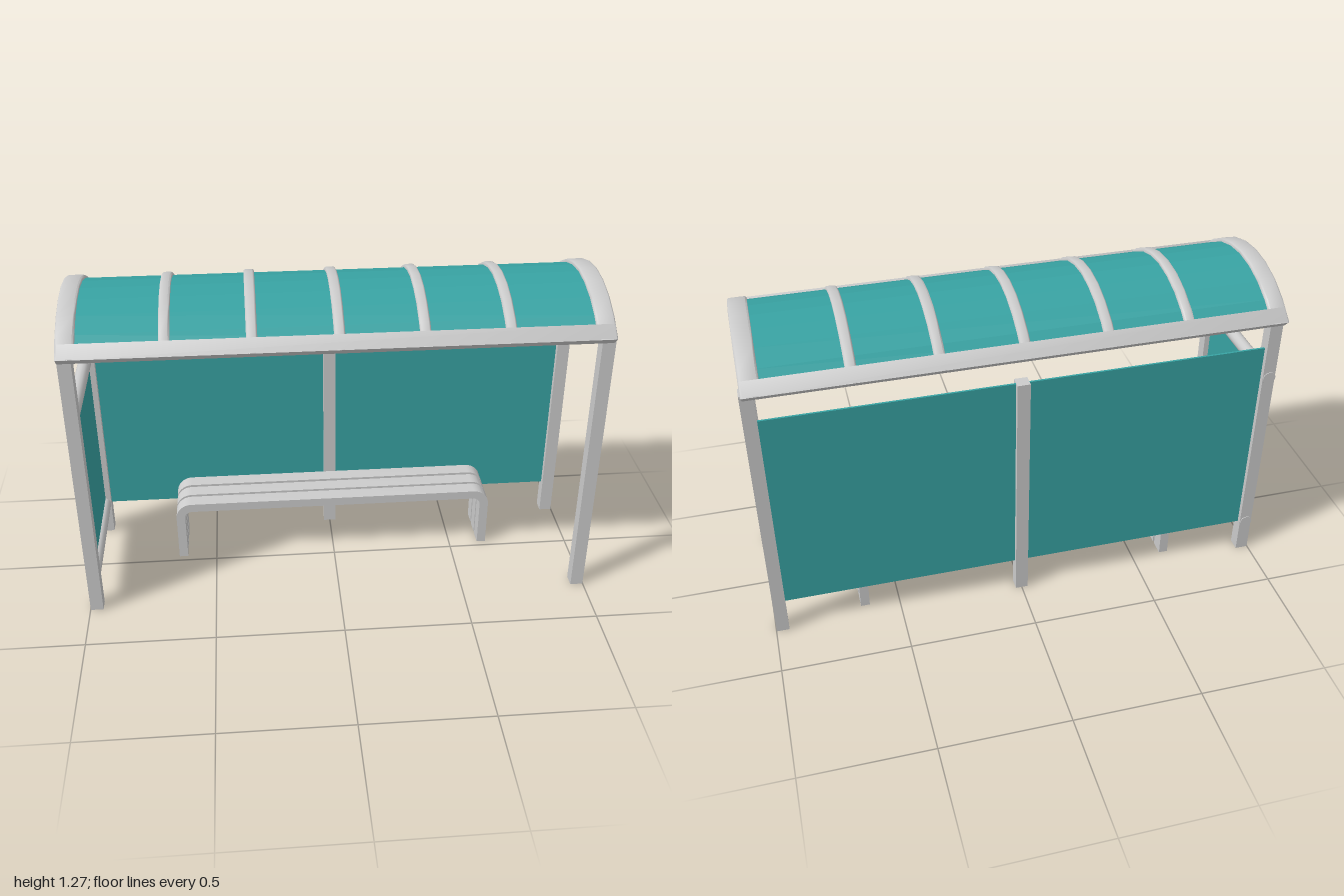
import * as THREE from 'three';
import { toCreasedNormals } from 'three/addons/utils/BufferGeometryUtils.js';

const grey = new THREE.MeshStandardMaterial({ color: 0xcccccc });
const teal = new THREE.MeshStandardMaterial({ color: 0x38a3a3, side: THREE.DoubleSide });

// Roof arc, described in the z/y plane
const ARC_Y = 0.803, ARC_R = 0.454, ARC_HALF = 0.782, RAIL_START = 0.649;

export function createModel() {
  const model = new THREE.Group();

  function add(parent, name, geometry, material, x = 0, y = 0, z = 0) {
    const mesh = new THREE.Mesh(geometry, material);
    mesh.name = name;
    mesh.position.set(x, y, z);
    parent.add(mesh);
    return mesh;
  }
  function group(name) {
    const g = new THREE.Group();
    g.name = name;
    model.add(g);
    return g;
  }
  const box = (w, h, d) => new THREE.BoxGeometry(w, h, d);

  // Curved bar: a slice of the roof arc from angle a0 to a1, spanning x0 to x1
  function arcBar(parent, name, x0, x1, a0, a1, segments) {
    const b = 0.007, half = 0.0175 - b, inset = b / ARC_R;
    const points = [];
    for (const [r, from, to] of [
      [ARC_R + half, a0 + inset, a1 - inset],
      [ARC_R - half, a1 - inset, a0 + inset],
    ]) {
      for (let i = 0; i <= segments; i++) {
        const a = from + (to - from) * i / segments;
        points.push(new THREE.Vector2(Math.sin(a) * r, ARC_Y + Math.cos(a) * r));
      }
    }
    const geometry = new THREE.ExtrudeGeometry(new THREE.Shape(points), {
      depth: x1 - x0 - 2 * b, bevelEnabled: true,
      bevelSize: b, bevelThickness: b, bevelSegments: 2,
    });
    geometry.rotateY(-Math.PI / 2);   // shape x -> +z, depth -> -x
    geometry.translate(x1 - b, 0, 0);
    add(parent, name, toCreasedNormals(geometry, 0.85), grey);
  }

  // Corner posts and the shorter centre back post
  const posts = group('posts');
  for (const sx of [-1, 1]) {
    add(posts, 'frontPost', box(0.05, 1.12, 0.05), grey, sx * 0.974, 0.56, 0.27);
    add(posts, 'backPost', box(0.05, 1.12, 0.05), grey, sx * 0.974, 0.56, -0.265);
  }
  add(posts, 'centrePost', box(0.05, 1, 0.05), grey, 0, 0.5, -0.265);

  // Back wall: two panes
  const back = group('backWall');
  for (const sx of [-1, 1]) {
    add(back, 'backPane', box(0.925, 0.86, 0.008), teal, sx * 0.487, 0.567, -0.267);
  }

  // Side wall at the model's right end, held by two round rails
  const side = group('sideWall');
  add(side, 'sidePane', box(0.008, 0.69, 0.49), teal, -0.975, 0.508, 0.002);
  for (const y of [0.145, 0.87]) {
    const rail = add(side, 'sideRail', new THREE.CylinderGeometry(0.0255, 0.0255, 0.552, 14),
      grey, -0.975, y, -0.017);
    rail.rotation.x = Math.PI / 2;
  }

  // Vaulted roof: curved sheet, ribs, eaves rails and end ties
  const roof = group('roof');
  const SEG = 8, R = ARC_R + 0.005;
  const sheet = new THREE.CylinderGeometry(
    R, R, 1.93, SEG, 1, true, -ARC_HALF + 0.04, 2 * (ARC_HALF - 0.04)).toNonIndexed();
  sheet.computeVertexNormals();
  sheet.rotateX(-Math.PI / 2);        // arc now opens downwards, axis along z
  sheet.rotateY(Math.PI / 2);         // axis along x
  add(roof, 'roofSheet', sheet, teal, -0.003, ARC_Y, 0);

  arcBar(roof, 'endRib', -1, -0.932, -ARC_HALF, ARC_HALF, SEG);
  arcBar(roof, 'endRib', 0.922, 0.993, -ARC_HALF, ARC_HALF, SEG);
  for (const x of [-0.622, -0.315, -0.004, 0.303, 0.613]) {
    arcBar(roof, 'rib', x - 0.02, x + 0.02, -ARC_HALF, ARC_HALF, SEG);
  }
  arcBar(roof, 'frontEave', -0.999, 0.992, RAIL_START, ARC_HALF, 1);
  arcBar(roof, 'backEave', -0.999, 0.992, -ARC_HALF, -RAIL_START, 1);
  for (const sx of [-1, 1]) {
    add(roof, 'endTie', box(0.045, 0.018, 0.6), grey, sx * 0.968, 1.127, 0);
  }

  // Bench: three bars bent down into legs
  const bench = group('bench');
  const W = 0.657, H = 0.262, T = 0.036, RO = 0.065, RI = RO - T;
  const profile = new THREE.Shape();
  profile.moveTo(W, 0);
  profile.lineTo(W, H - RO);
  profile.absarc(W - RO, H - RO, RO, 0, Math.PI / 2, false);
  profile.lineTo(-W + RO, H);
  profile.absarc(-W + RO, H - RO, RO, Math.PI / 2, Math.PI, false);
  profile.lineTo(-W, 0);
  profile.lineTo(-W + T, 0);
  profile.lineTo(-W + T, H - RO);
  profile.absarc(-W + RO, H - RO, RI, Math.PI, Math.PI / 2, true);
  profile.lineTo(W - RO, H - T);
  profile.absarc(W - RO, H - RO, RI, Math.PI / 2, 0, true);
  profile.lineTo(W - T, 0);
  profile.closePath();
  const bar = toCreasedNormals(new THREE.ExtrudeGeometry(profile, {
    depth: 0.06, bevelEnabled: false, curveSegments: 6,
  }), 0.6);
  for (const z of [-0.087, -0.16, -0.234]) {
    add(bench, 'benchBar', bar, grey, 0, 0, z);
  }

  return model;
}
